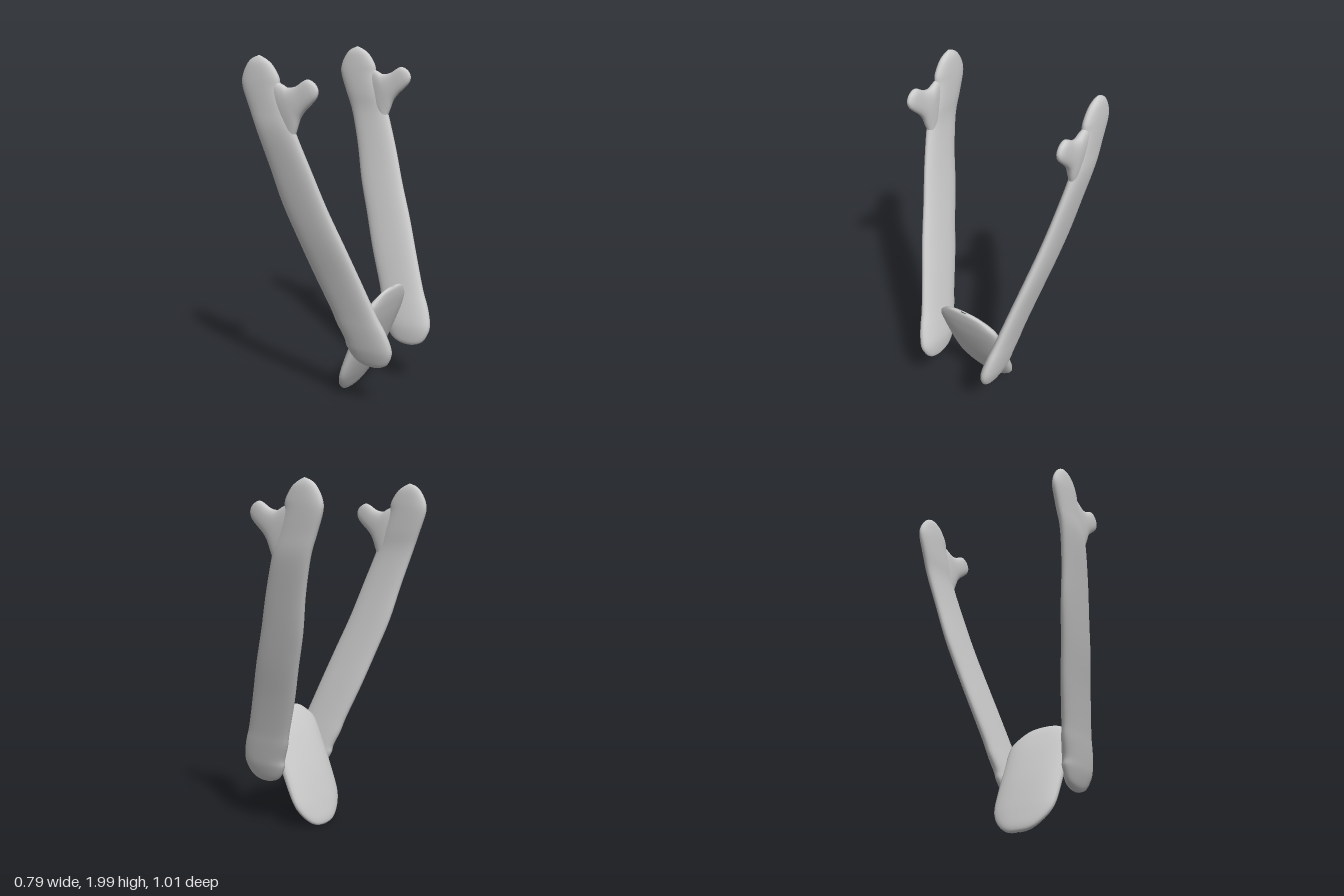
import * as THREE from 'three';

const V = (x, y, z = 0) => new THREE.Vector3(x, y, z);
const material = new THREE.MeshStandardMaterial({ color: 0xcccccc });
const SIDES = 24, STEPS = 4;

// Smooth closed loft through sections [centre, half-axis U, half-axis W]
function loft(sections, name) {
  const curves = [0, 1, 2].map(k =>
    new THREE.CatmullRomCurve3(sections.map(s => s[k]), false, 'catmullrom', 0.5));
  const rows = (sections.length - 1) * STEPS;
  const soften = v => Math.sign(v) * Math.abs(v) ** 0.85;
  const pos = [], idx = [];
  for (let i = 0; i <= rows; i++) {
    const [c, u, w] = curves.map(k => k.getPoint(i / rows));
    for (let j = 0; j < SIDES; j++) {
      const a = (j / SIDES) * Math.PI * 2;
      const p = c.clone().addScaledVector(u, soften(Math.cos(a))).addScaledVector(w, soften(Math.sin(a)));
      pos.push(p.x, p.y, p.z);
      if (i === rows) continue;
      const n = (j + 1) % SIDES, r = i * SIDES, q = r + SIDES;
      idx.push(r + j, q + j, r + n, r + n, q + j, q + n);
    }
  }
  const g = new THREE.BufferGeometry();
  g.setAttribute('position', new THREE.Float32BufferAttribute(pos, 3));
  g.setIndex(idx);
  g.computeVertexNormals();
  const mesh = new THREE.Mesh(g, material);
  mesh.name = name;
  return mesh;
}

// Outward lean of the arms: z of the arm's middle at height y
const LEAN = [[0.26, 0.2], [0.4, 0.222], [0.7, 0.285], [1.1, 0.38], [1.4, 0.437], [1.6, 0.468], [1.8, 0.472], [2, 0.475]];
function lean(y) {
  let i = 0;
  while (i < LEAN.length - 2 && y > LEAN[i + 1][0]) i++;
  const [y0, z0] = LEAN[i], [y1, z1] = LEAN[i + 1];
  return z0 + (z1 - z0) * (y - y0) / (y1 - y0);
}

// Section spanning two edge points, with half thickness t across z
function span([ax, ay, bx, by, t]) {
  const y = (ay + by) / 2, half = V((bx - ax) / 2, (by - ay) / 2, (lean(by) - lean(ay)) / 2);
  return [V((ax + bx) / 2, y, lean(y)), half, V(0, 0, t)];
}

function createArm(name) {
  const arm = new THREE.Group();
  arm.name = name;
  // Long flat bar: left edge, right edge, half thickness
  arm.add(loft([
    [0.235, 0.265, 0.235, 0.265, 0.002], [0.185, 0.278, 0.3, 0.272, 0.018], [0.14, 0.305, 0.355, 0.3, 0.03],
    [0.1, 0.37, 0.388, 0.36, 0.042], [0.09, 0.42, 0.39, 0.42, 0.045], [0.05, 0.51, 0.362, 0.51, 0.043],
    [0.02, 0.6, 0.32, 0.6, 0.04], [-0.06, 0.8, 0.245, 0.8, 0.038], [-0.13, 1, 0.17, 1, 0.038],
    [-0.2, 1.2, 0.09, 1.2, 0.036], [-0.25, 1.4, 0.02, 1.4, 0.034], [-0.31, 1.6, -0.055, 1.6, 0.035],
    [-0.355, 1.72, -0.1, 1.72, 0.036], [-0.395, 1.83, -0.145, 1.83, 0.035], [-0.392, 1.89, -0.155, 1.89, 0.033],
    [-0.36, 1.95, -0.195, 1.95, 0.027], [-0.325, 1.982, -0.235, 1.98, 0.017], [-0.28, 2, -0.28, 2, 0.002],
  ].map(span), 'armBar'));
  // Short prong near the tip: upper edge, lower edge, half thickness
  arm.add(loft([
    [-0.27, 1.79, -0.2, 1.6, 0.01], [-0.2, 1.87, -0.09, 1.54, 0.026], [-0.145, 1.86, -0.052, 1.61, 0.032],
    [-0.1, 1.84, -0.025, 1.68, 0.032], [-0.045, 1.85, 0.01, 1.725, 0.029], [0.005, 1.88, 0.055, 1.765, 0.026],
    [0.035, 1.888, 0.083, 1.795, 0.022], [0.07, 1.872, 0.094, 1.825, 0.013], [0.088, 1.85, 0.088, 1.85, 0.002],
  ].map(span), 'armProng'));
  return arm;
}

// Slanted rounded plate joining the arms: height, half width, half thickness
function createPlate() {
  return loft([
    [0.006, 0.015, 0.002], [0.016, 0.07, 0.015], [0.045, 0.12, 0.025], [0.1, 0.17, 0.033], [0.17, 0.197, 0.041],
    [0.3, 0.203, 0.05], [0.42, 0.205, 0.05], [0.52, 0.207, 0.045], [0.59, 0.198, 0.036], [0.635, 0.16, 0.028],
    [0.67, 0.115, 0.018], [0.685, 0.07, 0.011], [0.692, 0.02, 0.002],
  ].map(([y, w, t]) => [V(-0.03 + 0.43 * y, y), V(0, 0, w), V(-0.92 * t, 0.39 * t)]), 'crossPlate');
}

export function createModel() {
  const model = new THREE.Group();
  model.name = 'forkedFrame';
  const front = createArm('frontArm');
  const back = createArm('backArm');
  back.scale.z = -1;
  model.add(front, back, createPlate());
  return model;
}
